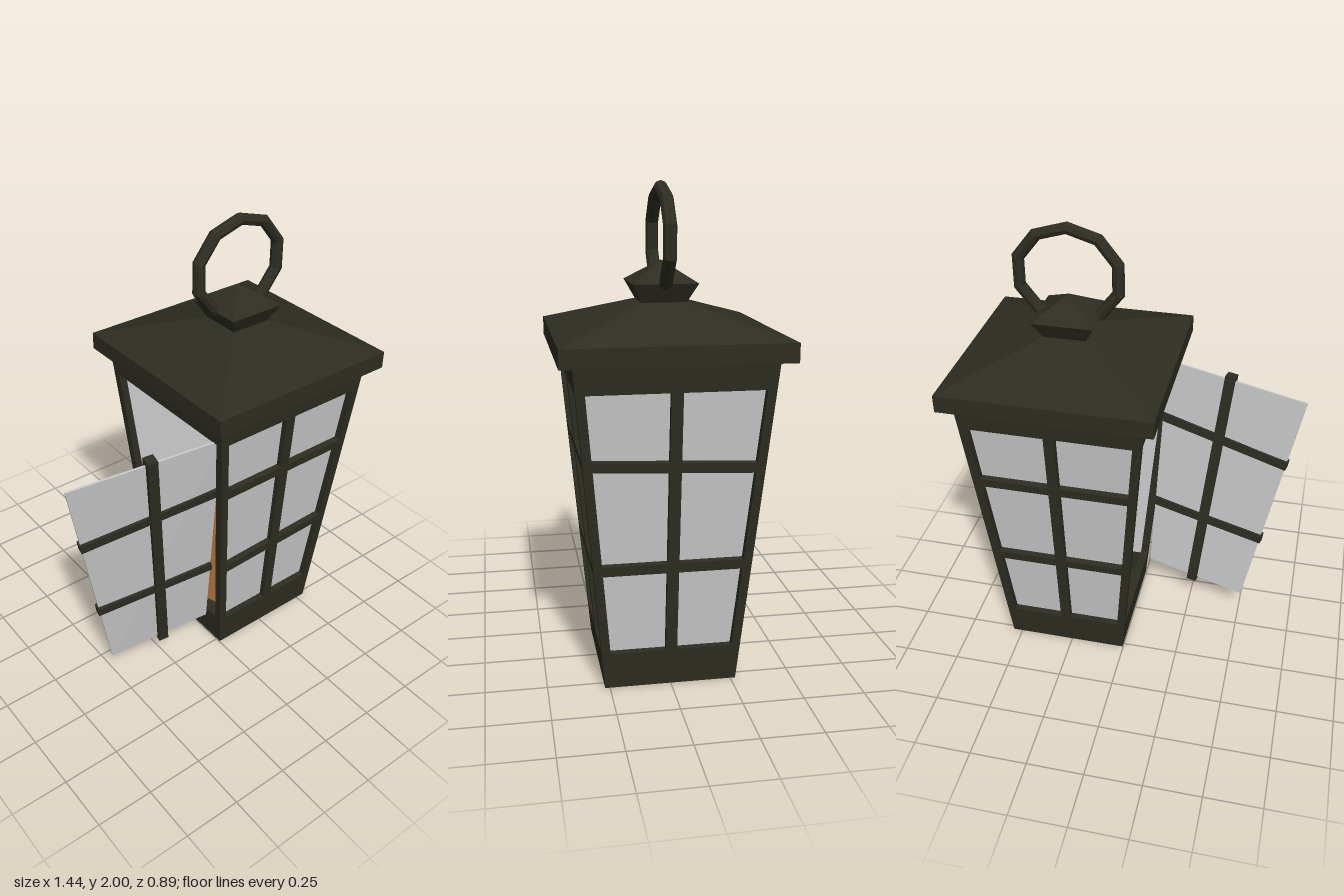
import * as THREE from 'three';
import { ConvexGeometry } from 'three/addons/geometries/ConvexGeometry.js';

const V = (x, y, z) => new THREE.Vector3(x, y, z);
const CX = 0.273;                       // lantern axis
const LOW = 0.155, HIGH = 1.235;        // window opening
const face = (y) => 0.27 + 0.0892 * y;  // half width of the tapered body

export function createModel() {
  const mat = (name, color) => {
    const m = new THREE.MeshStandardMaterial({ color, flatShading: true });
    m.name = name;
    return m;
  };
  const metal = mat('darkMetal', 0x2e2d22);
  const glass = mat('frostedGlass', 0xc8c8c8);
  const wax = mat('candleWax', 0xb0743e);

  const model = new THREE.Group();
  model.name = 'lantern';
  const body = new THREE.Group();
  body.name = 'body';
  body.position.x = CX;
  model.add(body);

  const add = (parent, name, geometry, material) => {
    const mesh = new THREE.Mesh(geometry, material);
    mesh.name = name;
    parent.add(mesh);
    return mesh;
  };

  // Square solid from a profile of [half width, height]
  const squareLathe = (profile) => new THREE.LatheGeometry(
    profile.map(([h, y]) => new THREE.Vector2(h * Math.SQRT2, y)), 4, Math.PI / 4);

  // Straight rectangular bar between two points, facing along normal
  const bar = (parent, name, a, b, width, depth, normal) => {
    const dir = b.clone().sub(a);
    const y = dir.clone().normalize();
    const x = y.clone().cross(normal).normalize();
    const z = x.clone().cross(y);
    const mesh = add(parent, name, new THREE.BoxGeometry(width, dir.length(), depth), metal);
    mesh.quaternion.setFromRotationMatrix(new THREE.Matrix4().makeBasis(x, y, z));
    mesh.position.copy(a).add(b).multiplyScalar(0.5);
  };

  // Hollow base tray, and roof with finial
  add(body, 'base', squareLathe([[0, 0], [0.27, 0], [face(LOW), LOW],
    [face(LOW) - 0.035, LOW], [0.238, 0.02], [0, 0.02]]), metal);
  add(body, 'roof', squareLathe([[0, HIGH], [face(HIGH), HIGH], [0.39, 1.345], [0.443, 1.345],
    [0.443, 1.42], [0.09, 1.535], [0.13, 1.61], [0, 1.695]]), metal);

  // Ten-sided carrying ring
  const ring = add(body, 'carryingRing', new THREE.TorusGeometry(0.216, 0.027, 8, 10), metal);
  ring.geometry.rotateZ(Math.PI / 10);
  ring.geometry.scale(1, 0.925, 1);
  ring.position.y = 1.775;

  // Leaning corner posts
  for (const sx of [-1, 1]) for (const sz of [-1, 1]) {
    const post = new THREE.BoxGeometry(0.036, HIGH - LOW, 0.036);
    post.translate(0, (HIGH + LOW) / 2, 0);
    const p = post.attributes.position;
    for (let i = 0; i < p.count; i++) {
      const r = face(p.getY(i)) - 0.018;
      p.setX(i, p.getX(i) + sx * r);
      p.setZ(i, p.getZ(i) + sz * r);
    }
    add(body, 'cornerPost', post, metal);
  }

  // Three glazed sides: front, left, back; each bar is [start, end] offsets
  const sides = [
    { name: 'frontWindow', upright: [0.008, -0.01], rails: [[0.5, 0.525], [0.957, 0.957]] },
    { name: 'leftWindow', upright: [0, 0], rails: [[0.52, 0.52], [0.955, 0.925]] },
    { name: 'backWindow', upright: [0, 0], rails: [[0.52, 0.52], [0.95, 0.95]] },
  ];
  sides.forEach(({ name, upright, rails }, i) => {
    const side = new THREE.Group();
    side.name = name;
    side.rotation.y = i * Math.PI / 2;
    body.add(side);

    const pane = new THREE.BoxGeometry(2, HIGH - LOW + 0.02, 0.008);
    pane.translate(0, (HIGH + LOW) / 2, 0);
    const p = pane.attributes.position;
    for (let k = 0; k < p.count; k++) {
      const r = face(p.getY(k)) - 0.034;
      p.setX(k, p.getX(k) * r);
      p.setZ(k, p.getZ(k) + r);
    }
    add(side, 'pane', pane, glass);

    const n = V(0, -0.089, 1);
    const at = (x, y) => V(x, y, face(y) - 0.014);
    bar(side, 'uprightBar', at(upright[0], LOW), at(upright[1], HIGH), 0.046, 0.026, n);
    for (const [l, r] of rails) {
      bar(side, 'crossBar', at(0.02 - face(l), l), at(face(r) - 0.02, r), 0.04, 0.028, n);
    }
  });

  // Open door, swung out on the right side
  const door = new THREE.Group();
  door.name = 'door';
  model.add(door);
  const topOut = V(-0.72, 1.185, 0.19), topIn = V(-0.08, 1.24, 0.335);
  const lowOut = V(-0.505, 0.1, 0.11), lowIn = V(-0.035, 0.155, 0.205);
  const normal = lowIn.clone().sub(lowOut).cross(topOut.clone().sub(lowOut)).normalize();
  const corners = [];
  for (const c of [topOut, topIn, lowOut, lowIn]) {
    for (const s of [-0.005, 0.005]) corners.push(c.clone().addScaledVector(normal, s));
  }
  add(door, 'doorPane', new ConvexGeometry(corners), glass);

  // Point on the door: u from outer edge to hinge, v from bottom to top
  const onDoor = (u, v) => lowOut.clone().lerp(lowIn, u).lerp(topOut.clone().lerp(topIn, u), v);
  bar(door, 'doorUprightBar', onDoor(0.52, -0.015), onDoor(0.54, 1.02), 0.046, 0.05, normal);
  bar(door, 'doorCrossBar', onDoor(-0.015, 0.32), onDoor(1, 0.325), 0.04, 0.04, normal);
  bar(door, 'doorCrossBar', onDoor(-0.01, 0.705), onDoor(1, 0.745), 0.04, 0.04, normal);

  // Tapered candle standing in the tray
  const candle = add(body, 'candle', new THREE.CylinderGeometry(0.09, 0.15, 0.72, 12), wax);
  candle.position.y = 0.38;

  return model;
}
